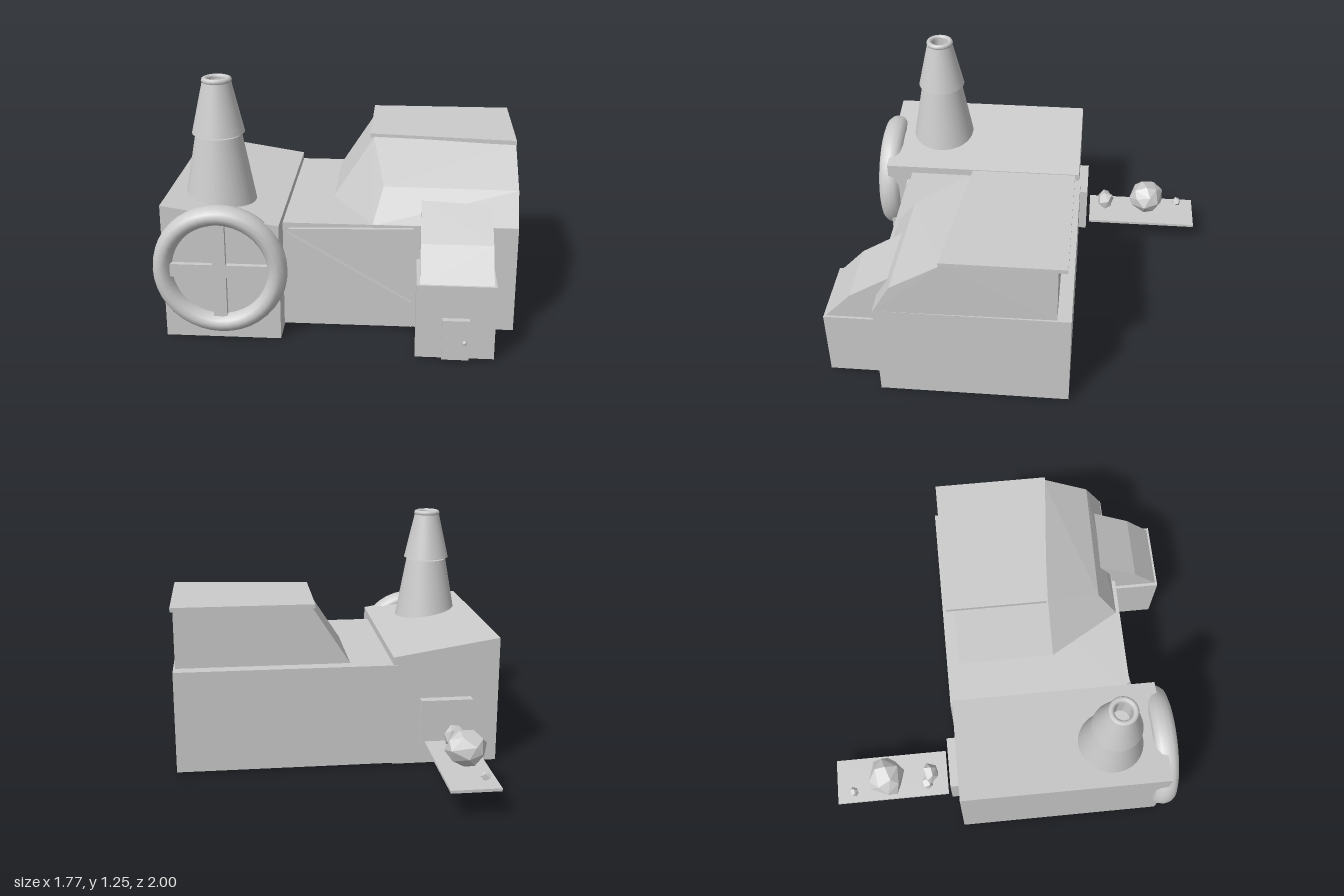
import * as THREE from 'three';
import { ConvexGeometry } from 'three/addons/geometries/ConvexGeometry.js';
import { toCreasedNormals } from 'three/addons/utils/BufferGeometryUtils.js';

export function createModel() {
  const root = new THREE.Group();
  const flat = new THREE.MeshStandardMaterial({ color: 0xcccccc, flatShading: true });
  const smooth = new THREE.MeshStandardMaterial({ color: 0xcccccc });

  const add = (name, geometry, material = flat, parent = root) => {
    const mesh = new THREE.Mesh(geometry, material);
    mesh.name = name;
    parent.add(mesh);
    return mesh;
  };
  // box given by its extents on each axis
  const box = (name, x0, x1, y0, y1, z0, z1, parent = root) => {
    const mesh = add(name, new THREE.BoxGeometry(x1 - x0, y1 - y0, z1 - z0), flat, parent);
    mesh.position.set((x0 + x1) / 2, (y0 + y1) / 2, (z0 + z1) / 2);
    return mesh;
  };
  const hull = (name, points, parent = root) =>
    add(name, new ConvexGeometry(points.map((p) => new THREE.Vector3(...p))), flat, parent);
  // outline in x, y pushed along z
  const prism = (name, outline, z0, z1) => {
    const shape = new THREE.Shape(outline.map((p) => new THREE.Vector2(...p)));
    const mesh = add(name, new THREE.ExtrudeGeometry(shape, { depth: z1 - z0, bevelEnabled: false }));
    mesh.position.z = z0;
    return mesh;
  };

  // Furnace hall with a single-pitch roof, and the main block beside it
  prism('furnaceHall', [[-0.84, 0], [-0.27, 0], [-0.27, 0.6], [-0.84, 0.69]], -0.3, 0.81);
  box('mainBlock', -0.29, 0.88, 0.01, 0.56, -0.31, 0.665);

  // Upper storey with a sloped left side and a two-step sloped front
  hull('upperStorey', [
    [-0.05, 0.555, -0.24], [-0.05, 0.555, 0.28], [0.17, 0.555, 0.665], [0.88, 0.555, 0.665], [0.87, 0.555, -0.24],
    [0.22, 0.72, 0.555], [0.88, 0.72, 0.57],
    [0.16, 0.88, -0.24], [0.16, 0.88, 0.26], [0.88, 0.88, 0.31], [0.87, 0.88, -0.24],
  ]);
  const slab = [];
  for (const y of [0.874, 0.896])
    slab.push([0.14, y, -0.285], [0.882, y, -0.285], [0.882, y, 0.325], [0.14, y, 0.25]);
  hull('roofSlab', slab);

  // Cladding panels on the front wall
  prism('upperPanel', [[-0.24, 0.535], [0.2, 0.38], [0.37, 0.165], [0.37, 0.55]], 0.66, 0.685);
  prism('lowerPanel', [[-0.25, 0.14], [0.37, 0.025], [0.37, 0.155], [-0.25, 0.52]], 0.66, 0.695);

  // Entrance porch with a bent roof
  box('porch', 0.39, 0.765, 0.01, 0.385, 0.6, 0.957);
  const porchRoof = [];
  for (const x of [0.407, 0.752])
    porchRoof.push([x, 0.38, 0.95], [x, 0.53, 0.81], [x, 0.67, 0.59], [x, 0.38, 0.59]);
  hull('porchRoof', porchRoof);
  box('door', 0.515, 0.643, 0.015, 0.22, 0.95, 0.985);
  add('doorKnob', new THREE.SphereGeometry(0.011, 12, 8), smooth).position.set(0.622, 0.108, 0.988);

  // Chimney: two tapered sections and a rim, with an open flue
  const chimney = new THREE.Group();
  chimney.name = 'chimney';
  chimney.position.set(-0.597, 0, 0.52);
  root.add(chimney);
  const lathe = (name, profile) => add(name, toCreasedNormals(
    new THREE.LatheGeometry(profile.map((p) => new THREE.Vector2(...p)), 32), 0.6), smooth, chimney);
  lathe('lowerStack', [[0, 0.56], [0.19, 0.56], [0.115, 0.965], [0, 0.965]]);
  lathe('upperStack', [[0, 0.975], [0.13, 0.975], [0.07, 1.235], [0.045, 1.235], [0.045, 1.1], [0, 1.1]]);
  box('stackCore', -0.05, 0.05, 0.95, 0.99, -0.05, 0.05, chimney);
  const rim = add('chimneyRim', new THREE.TorusGeometry(0.06, 0.015, 8, 32), smooth, chimney);
  rim.rotation.x = Math.PI / 2;
  rim.position.y = 1.238;

  // Large round window: ring, pane and cross bars
  const roundWindow = new THREE.Group();
  roundWindow.name = 'roundWindow';
  roundWindow.position.set(-0.56, 0.37, 0.81);
  root.add(roundWindow);
  const ring = add('windowRing', new THREE.TorusGeometry(0.281, 0.049, 12, 40), smooth, roundWindow);
  ring.scale.z = 1.3;
  const pane = add('windowPane', new THREE.CylinderGeometry(0.26, 0.26, 0.02, 40), flat, roundWindow);
  pane.rotation.x = Math.PI / 2;
  box('verticalBar', -0.033, 0.033, -0.26, 0.26, 0, 0.035, roundWindow);
  box('horizontalBar', -0.26, 0.26, -0.033, 0.033, 0, 0.035, roundWindow);

  // Rear hatch and the ore conveyor behind it
  box('rearHatch', -0.69, -0.415, 0.1, 0.37, -0.352, -0.28);
  box('conveyorPlank', -0.68, -0.43, 0.135, 0.15, -1, -0.37);

  // Faceted ore lumps from a seeded scatter of points
  let seed = 7;
  const rand = () => (seed = (seed * 16807) % 2147483647) / 2147483647;
  const lump = (name, x, z, w, h, d, count) => {
    const points = [];
    for (let i = 0; i < count; i++) {
      const t = 1 - (2 * (i + 0.5)) / count;
      const a = i * 2.4 + rand() * 0.5;
      const r = Math.sqrt(1 - t * t) * (0.85 + rand() * 0.2);
      points.push([Math.cos(a) * r * w / 2, t * h / 2, Math.sin(a) * r * d / 2]);
    }
    hull(name, points).position.set(x, 0.15 + h / 2, z);
  };
  lump('largeOre', -0.57, -0.71, 0.23, 0.19, 0.22, 24);
  lump('mediumOreTall', -0.565, -0.465, 0.13, 0.125, 0.1, 16);
  lump('mediumOreLow', -0.61, -0.485, 0.09, 0.07, 0.07, 12);
  lump('smallOre', -0.625, -0.905, 0.06, 0.055, 0.055, 12);

  return root;
}
